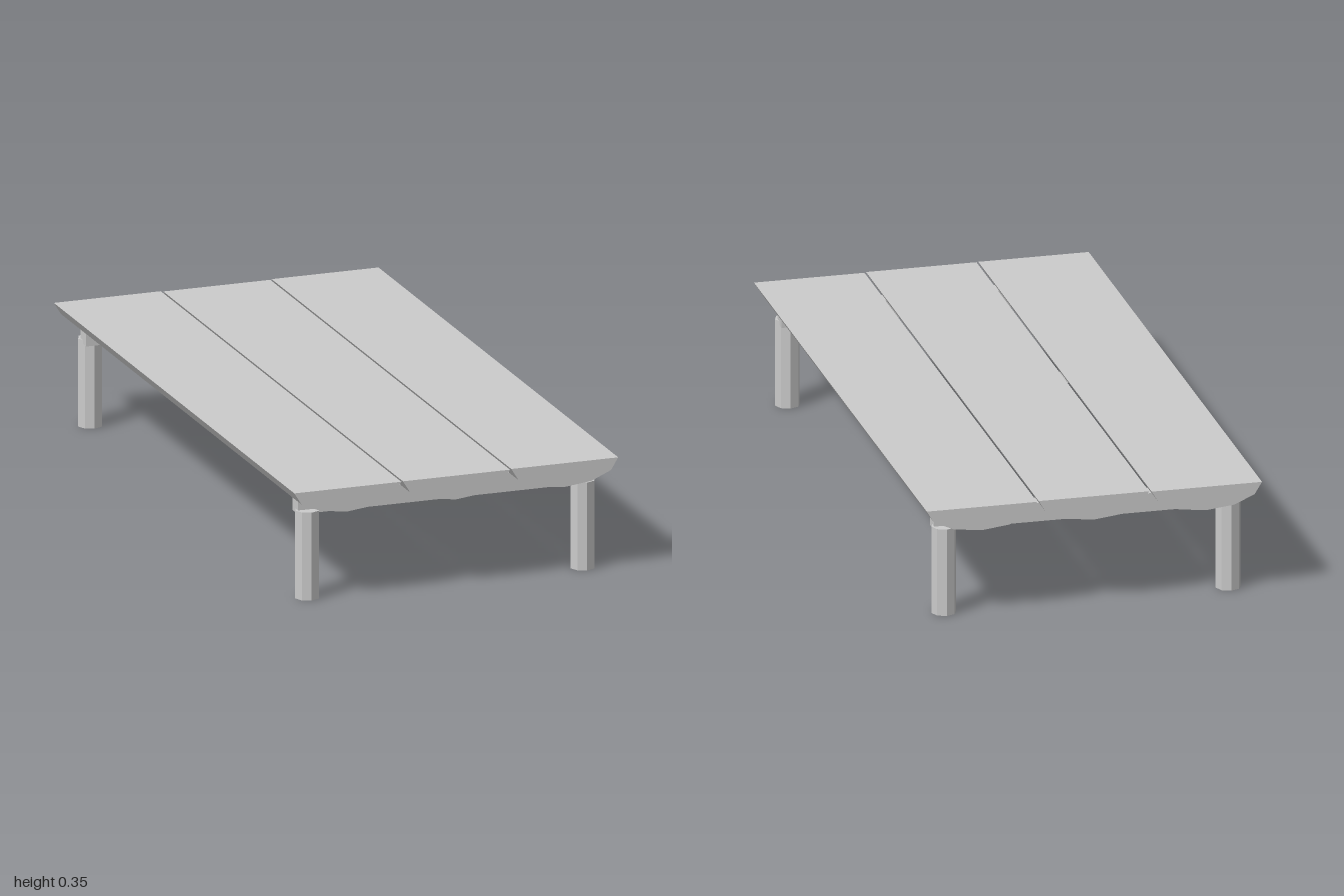
import * as THREE from 'three';

export function createModel() {
  const model = new THREE.Group();
  const mat = new THREE.MeshStandardMaterial({ color: 0xcccccc, flatShading: true });
  const add = (name, geometry, x, y, z) => {
    const mesh = new THREE.Mesh(geometry, mat);
    mesh.name = name;
    mesh.position.set(x, y, z);
    model.add(mesh);
  };

  // Half-log profile: flat top, shallow six-sided curved underside
  const profile = new THREE.Shape();
  for (let i = 0; i <= 6; i++) {
    const a = Math.PI * (1 + i / 6);
    const x = 0.165 * Math.cos(a), y = 0.072 * Math.sin(a);
    if (i === 0) profile.moveTo(x, y);
    else profile.lineTo(x, y);
  }
  profile.closePath();

  // Three planks side by side, with slightly uneven ends
  const planks = [
    ['rightPlank', -0.336, -1, 1],
    ['middlePlank', 0, -0.995, 0.998],
    ['leftPlank', 0.336, -1, 0.993],
  ];
  for (const [name, x, back, front] of planks) {
    const plank = new THREE.ExtrudeGeometry(profile, { depth: front - back, bevelEnabled: false });
    add(name, plank, x, 0.35, back);
  }

  // A cross beam on two octagonal legs at each end
  for (const [end, s] of [['front', 1], ['back', -1]]) {
    add(end + 'CrossBeam', new THREE.BoxGeometry(0.908, 0.056, 0.048), 0, 0.282, s * 0.881);
    for (const [side, m] of [['Left', 1], ['Right', -1]]) {
      add(end + side + 'Leg', new THREE.CylinderGeometry(0.037, 0.037, 0.266, 8), m * 0.425, 0.133, s * 0.902);
    }
  }
  return model;
}
